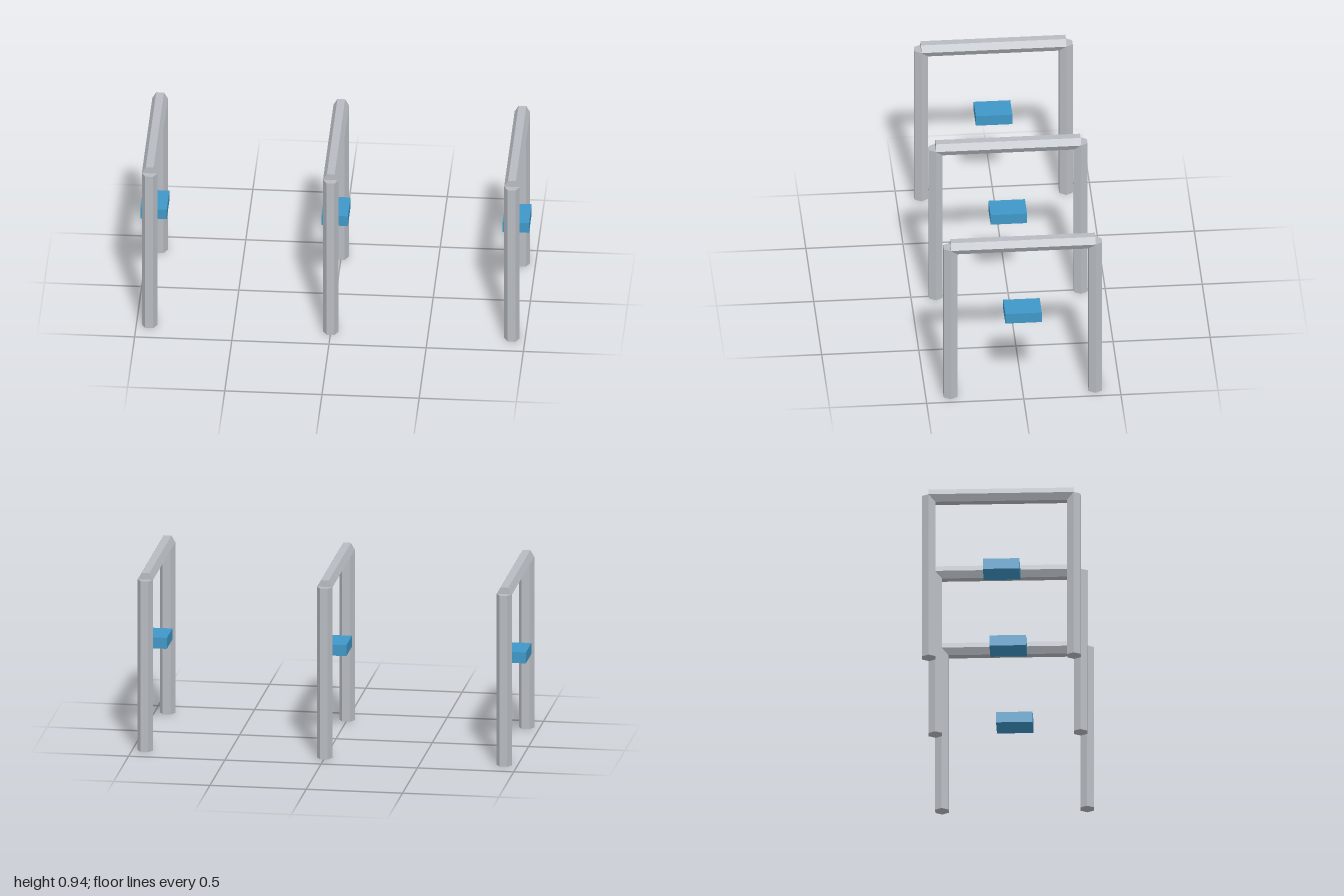
import * as THREE from 'three';

const TUBE_RADIUS = 0.04;
const FRAME_Y = 0.908;
const LEG_Z = 0.373;

// Faceted six-sided bar standing along y, with its corners at +x and -x
function hexBar(length) {
  const bar = new THREE.CylinderGeometry(TUBE_RADIUS, TUBE_RADIUS, length, 6, 1, false, Math.PI / 6).toNonIndexed();
  bar.computeVertexNormals();
  return bar;
}

export function createModel() {
  const steel = new THREE.MeshStandardMaterial({ color: 0xb8bcc2 });
  steel.name = 'grey steel';
  const blue = new THREE.MeshStandardMaterial({ color: 0x3f98c8 });
  blue.name = 'blue seat';

  const legGeometry = hexBar(FRAME_Y);
  const barGeometry = hexBar(LEG_Z * 2).rotateX(Math.PI / 2);
  const seatGeometry = new THREE.BoxGeometry(0.136, 0.058, 0.188);

  const model = new THREE.Group();
  model.name = 'hoopsWithSeats';

  const add = (parent, name, geometry, material, y, z) => {
    const mesh = new THREE.Mesh(geometry, material);
    mesh.name = name;
    mesh.position.set(0, y, z);
    parent.add(mesh);
  };

  // Three identical hoops in a row, each with a floating seat
  for (const [side, x] of [['right', -0.932], ['middle', 0], ['left', 0.932]]) {
    const hoop = new THREE.Group();
    hoop.name = side + 'Hoop';
    hoop.position.x = x;
    add(hoop, 'frontLeg', legGeometry, steel, FRAME_Y / 2, LEG_Z);
    add(hoop, 'backLeg', legGeometry, steel, FRAME_Y / 2, -LEG_Z);
    add(hoop, 'topBar', barGeometry, steel, FRAME_Y, 0);
    add(hoop, 'seat', seatGeometry, blue, 0.496, 0.001);
    model.add(hoop);
  }
  return model;
}
